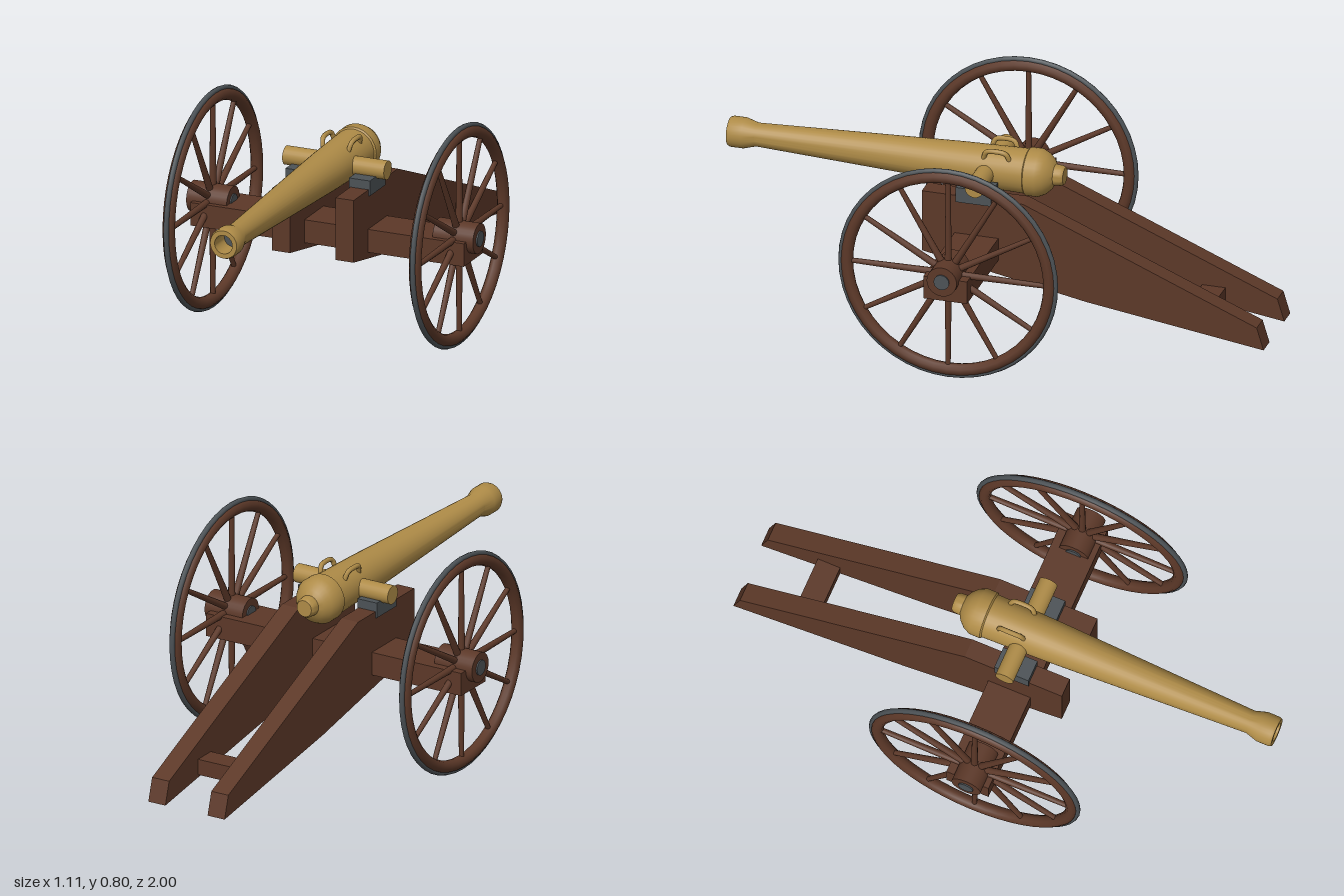
import * as THREE from 'three';
import { toCreasedNormals } from 'three/addons/utils/BufferGeometryUtils.js';

const material = (name, color) => {
  const m = new THREE.MeshStandardMaterial({ color });
  m.name = name;
  return m;
};

export function createModel() {
  const wood = material('wood', 0x5c3828);
  const bronze = material('bronze', 0xae8b47);
  const iron = material('iron', 0x4c5256);
  const model = new THREE.Group();
  model.name = 'fieldCannon';

  const add = (parent, name, geometry, mat, x = 0, y = 0, z = 0) => {
    const mesh = new THREE.Mesh(geometry, mat);
    mesh.name = name;
    mesh.position.set(x, y, z);
    parent.add(mesh);
    return mesh;
  };
  const box = (w, h, d) => new THREE.BoxGeometry(w, h, d);
  // Cylinder lying along x
  const rod = (r, length, sides = 20) =>
    new THREE.CylinderGeometry(r, r, length, sides).rotateZ(Math.PI / 2);

  // Barrel: turned profile of [z, radius], from the breech knob to the bore
  const barrel = new THREE.Group();
  barrel.name = 'barrel';
  barrel.position.set(0, 0.603, 0);
  model.add(barrel);
  const profile = [
    [-0.225, 0], [-0.225, 0.03], [-0.215, 0.036], [-0.19, 0.038], [-0.18, 0.055],
    [-0.16, 0.074], [-0.135, 0.086], [-0.095, 0.086], [-0.09, 0.08], [0, 0.078],
    [0.15, 0.074], [0.9, 0.042], [0.945, 0.055], [0.99, 0.055], [1, 0.051],
    [1, 0.034], [0.92, 0.033],
  ].map(([z, r]) => new THREE.Vector2(r, z));
  const turned = new THREE.LatheGeometry(profile, 32).rotateX(Math.PI / 2);
  add(barrel, 'gunTube', toCreasedNormals(turned, 0.5), bronze);
  add(barrel, 'boreEnd', new THREE.CircleGeometry(0.034, 32), iron, 0, 0, 0.921);
  add(barrel, 'trunnions', rod(0.034, 0.39, 24), bronze, 0, 0, 0.047);

  // Lifting handles arched over the barrel
  for (const side of [-1, 1]) {
    const arch = new THREE.CatmullRomCurve3([
      [0.048, 0.05, 0.058], [0.055, 0.08, 0.045], [0.057, 0.086, 0.01],
      [0.055, 0.08, -0.025], [0.048, 0.05, -0.038],
    ].map(([x, y, z]) => new THREE.Vector3(side * x, y, z)));
    add(barrel, 'liftingHandle', new THREE.TubeGeometry(arch, 16, 0.009, 8), bronze);
  }

  // Carriage: two tapered cheeks joined by the axle beam and a rear transom
  const carriage = new THREE.Group();
  carriage.name = 'carriage';
  model.add(carriage);
  const outline = new THREE.Shape([
    [0.25, 0.32], [0.25, 0.55], [-0.12, 0.55], [-0.975, 0.193],
    [-1, 0.11], [-0.35, 0.205],
  ].map(([z, y]) => new THREE.Vector2(-z, y)));
  const cheekGeometry = new THREE.ExtrudeGeometry(outline, { depth: 0.07, bevelEnabled: false })
    .translate(0, 0, -0.035).rotateY(Math.PI / 2);
  for (const side of [-1, 1]) {
    add(carriage, 'cheek', cheekGeometry, wood, side * 0.122, 0, 0);
    add(carriage, 'trunnionBed', box(0.08, 0.056, 0.13), iron, side * 0.122, 0.555, 0.06);
  }
  add(carriage, 'axleBeam', box(1.05, 0.085, 0.16), wood, 0, 0.3625, 0.05);
  add(carriage, 'rearTransom', box(0.19, 0.058, 0.085), wood, 0, 0.181, -0.742);

  // Wheels
  const rimGeometry = new THREE.TorusGeometry(0.37, 0.022, 10, 48).rotateY(Math.PI / 2);
  const tyreGeometry = new THREE.TorusGeometry(0.392, 0.01, 8, 48).rotateY(Math.PI / 2);
  const spokeGeometry = new THREE.CylinderGeometry(0.009, 0.013, 0.32, 10).translate(0, 0.2, 0);
  for (const side of [-1, 1]) {
    const wheel = new THREE.Group();
    wheel.name = side > 0 ? 'leftWheel' : 'rightWheel';
    wheel.position.set(side * 0.473, 0.404, 0.055);
    model.add(wheel);
    add(wheel, 'rim', rimGeometry, wood);
    add(wheel, 'tyre', tyreGeometry, iron);
    add(wheel, 'hub', rod(0.055, 0.155, 24), wood);
    add(wheel, 'axleCap', rod(0.028, 0.165, 20), iron);
    for (let i = 0; i < 12; i++) {
      add(wheel, 'spoke', spokeGeometry, wood).rotation.x = (i * Math.PI) / 6;
    }
  }
  return model;
}
